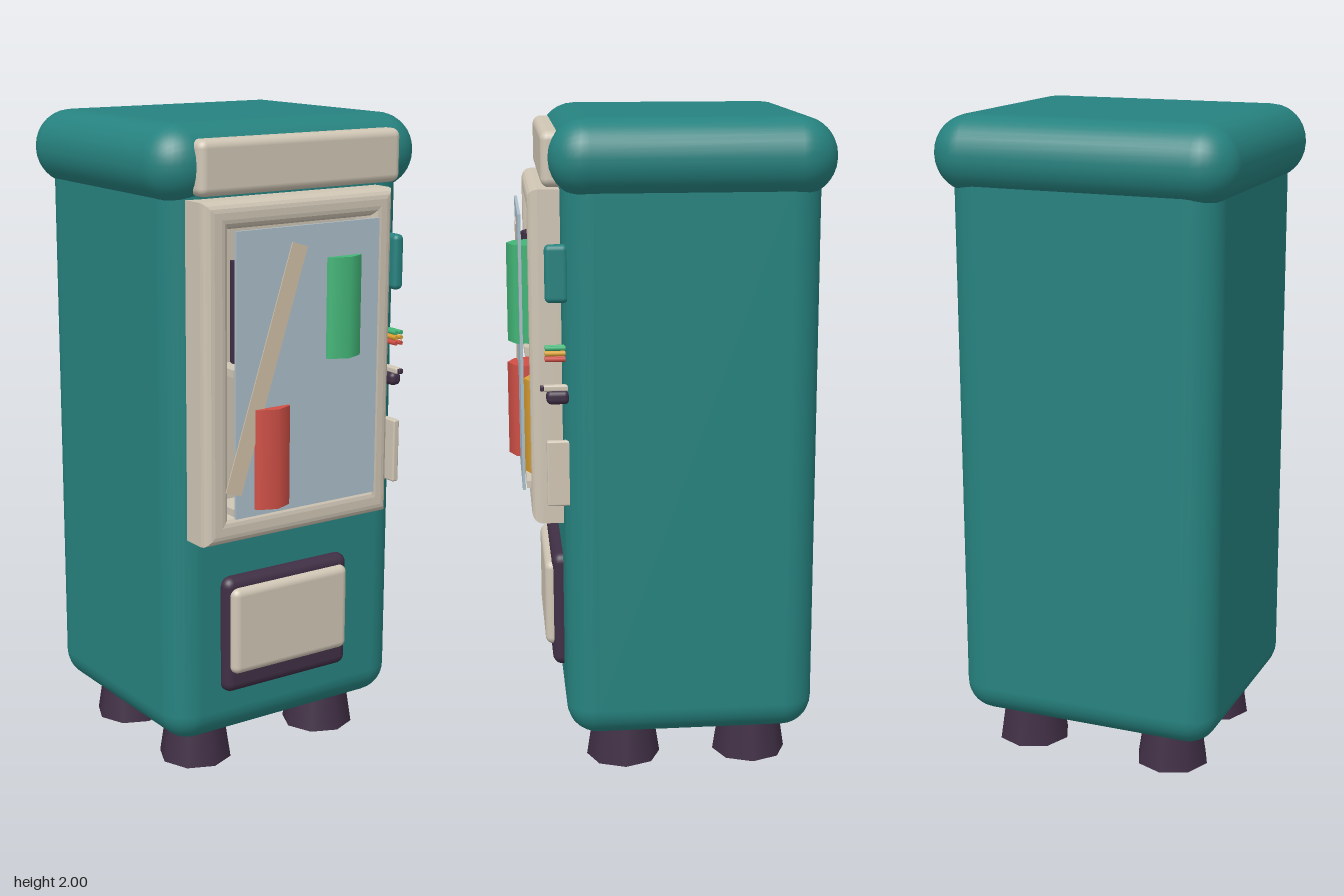
import * as THREE from 'three';
import { RoundedBoxGeometry } from 'three/addons/geometries/RoundedBoxGeometry.js';

const mat = (name, color) => {
  const m = new THREE.MeshStandardMaterial({ color });
  m.name = name;
  return m;
};

export function createModel() {
  const teal = mat('teal', 0x26827f);
  const cream = mat('cream', 0xd0c6b5);
  const dark = mat('dark plum', 0x402f45);
  const glass = mat('glass blue', 0xacbfca);
  const tan = mat('reflection tan', 0xd1c2a9);
  const green = mat('green', 0x43b678);
  const red = mat('red', 0xcf5046);
  const orange = mat('orange', 0xdba032);

  const model = new THREE.Group();
  model.name = 'vendingMachine';

  const add = (name, geometry, material, x = 0, y = 0, z = 0) => {
    const mesh = new THREE.Mesh(geometry, material);
    mesh.name = name;
    mesh.position.set(x, y, z);
    model.add(mesh);
    return mesh;
  };
  // Boxes given by their limits; radius 0 keeps sharp edges
  const box = (name, material, [x0, x1], [y0, y1], [z0, z1], radius = 0, segments = 3) => {
    const size = [x1 - x0, y1 - y0, z1 - z0];
    const geometry = radius
      ? new RoundedBoxGeometry(...size, segments, radius)
      : new THREE.BoxGeometry(...size);
    return add(name, geometry, material, (x0 + x1) / 2, (y0 + y1) / 2, (z0 + z1) / 2);
  };

  // Cabinet, overhanging cap and header sign
  box('cabinet', teal, [-0.42, 0.42], [0.12, 1.9], [-0.44, 0.32], 0.095, 4);
  box('cap', teal, [-0.47, 0.47], [1.77, 2], [-0.48, 0.355], 0.113, 4);
  box('headerSign', cream, [-0.36, 0.355], [1.8, 1.96], [0.3, 0.376], 0.025);

  // Tapered feet
  for (const x of [-0.24, 0.24]) {
    for (const z of [-0.26, 0.14]) {
      add('foot', new THREE.CylinderGeometry(0.092, 0.115, 0.15, 8), dark, x, 0.075, z);
    }
  }

  // Window frame with rounded edges
  const bevel = 0.03;
  const rect = (target, x0, x1, y0, y1) => {
    target.moveTo(x0, y0).lineTo(x1, y0).lineTo(x1, y1).lineTo(x0, y1).closePath();
    return target;
  };
  const frameShape = rect(new THREE.Shape(), -0.37 + bevel, 0.3 - bevel, 0.785 + bevel, 1.79 - bevel);
  frameShape.holes.push(rect(new THREE.Path(), -0.285 - bevel, 0.22 + bevel, 0.87 - bevel, 1.71 + bevel));
  add('windowFrame', new THREE.ExtrudeGeometry(frameShape, {
    depth: 0.085, bevelEnabled: true, bevelSize: bevel, bevelThickness: bevel, bevelSegments: 4,
  }), cream, 0, 0, 0.3);

  // Display recess, shelves, and pane standing just ahead of the frame
  box('displayBack', cream, [-0.3, 0.235], [0.86, 1.72], [0.31, 0.328]);
  for (const y of [0.875, 1.29]) {
    box('shelf', cream, [-0.285, 0.222], [y, y + 0.022], [0.32, 0.428]);
  }
  box('windowPane', glass, [-0.285, 0.222], [0.87, 1.71], [0.432, 0.441]);
  const streak = box('paneReflection', tan, [-0.209, -0.153], [0.93, 1.675], [0.441, 0.444]);
  streak.rotation.z = -0.312;

  // Eight-sided cans, two of which poke through the pane
  const cans = [
    ['greenCan', green, 0.093, 1.46, 0.395],
    ['redCan', red, -0.16, 1.04, 0.395],
    ['darkCan', dark, -0.16, 1.46, 0.35],
    ['orangeCan', orange, 0.093, 1.04, 0.35],
  ];
  for (const [name, material, x, y, z] of cans) {
    add(name, new THREE.CylinderGeometry(0.08, 0.08, 0.3, 8), material, x, y, z);
  }

  // Collection hatch
  box('hatchSurround', dark, [-0.26, 0.197], [0.28, 0.65], [0.28, 0.355], 0.03);
  box('hatchFlap', cream, [-0.245, 0.182], [0.345, 0.62], [0.31, 0.377], 0.024);

  // Side control strip: display, buttons, coin knob and card slot
  box('controlDisplay', teal, [0.343, 0.38], [1.47, 1.64], [0.3, 0.37], 0.016);
  [[green, 1.338], [orange, 1.322], [red, 1.305]].forEach(([material, y]) => {
    for (const x of [0.353, 0.373]) {
      const button = add('button', new THREE.CylinderGeometry(0.007, 0.007, 0.06, 8), material, x, y, 0.342);
      button.rotation.x = Math.PI / 2;
    }
  });
  box('coinKnob', dark, [0.342, 0.382], [1.17, 1.212], [0.3, 0.37], 0.016);
  box('coinLever', cream, [0.351, 0.373], [1.208, 1.228], [0.3, 0.378], 0.006);
  box('leverTip', dark, [0.355, 0.372], [1.21, 1.226], [0.376, 0.388], 0.004);
  box('cardSlot', cream, [0.354, 0.376], [0.86, 1.06], [0.3, 0.371], 0.006);

  return model;
}
